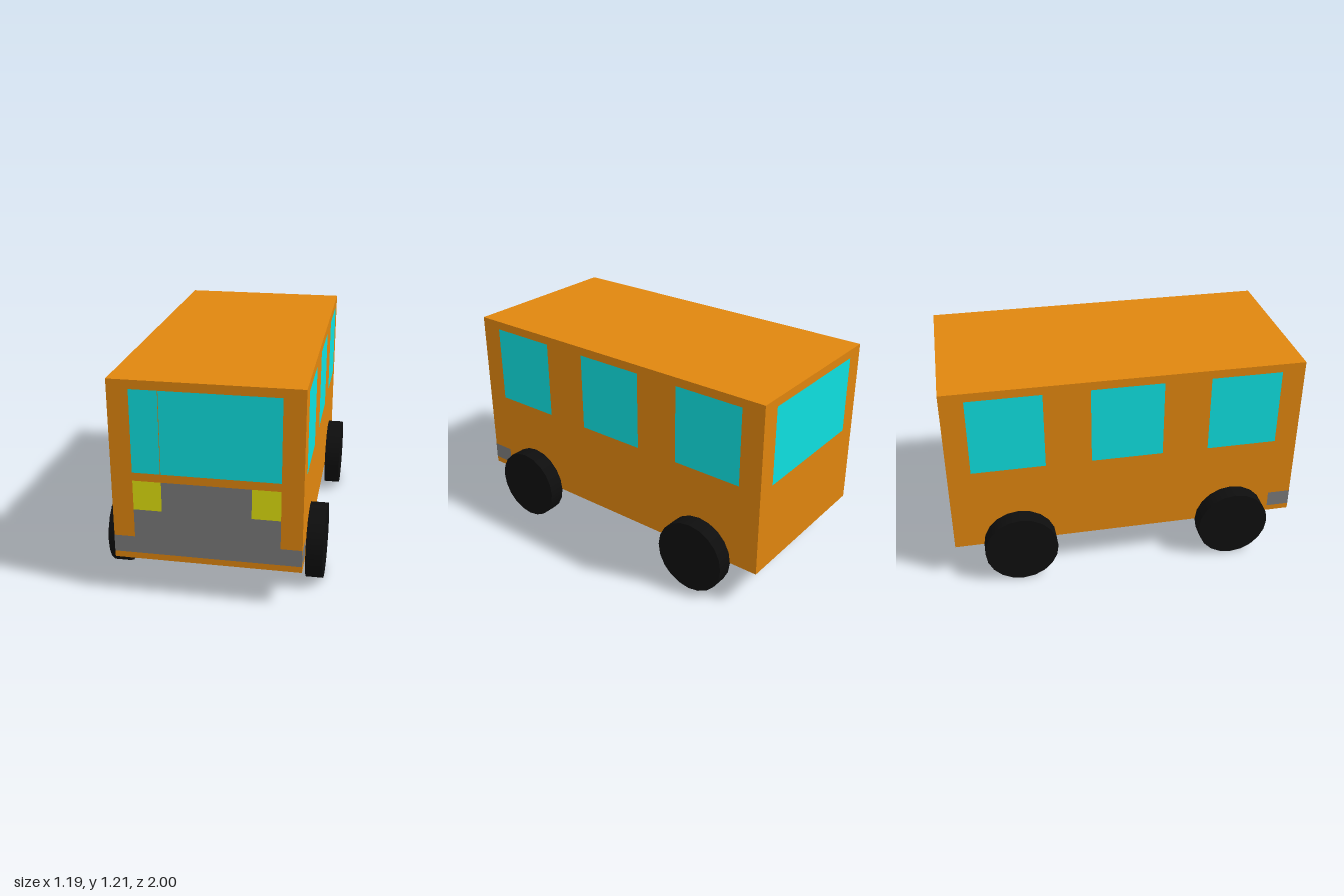
import * as THREE from 'three';

const paint = (color) => new THREE.MeshStandardMaterial({ color });
const ORANGE = paint(0xe0860e), GLASS = paint(0x0ee0e0), GREY = paint(0x7a7a7a);
const YELLOW = paint(0xe0e00e), BLACK = paint(0x0e0e0e);

const HALF_W = 0.5, HALF_L = 1, BOTTOM = 0.21, TOP = 1.21;
const GAP = 0.0015; // panels sit just proud of the body

export function createModel() {
  const group = new THREE.Group();
  const add = (name, geometry, material) => {
    const mesh = new THREE.Mesh(geometry, material);
    mesh.name = name;
    group.add(mesh);
    return mesh;
  };

  // flat panel on the front (dir 1) or rear (dir -1) wall
  const endPanel = (name, material, dir, x0, x1, y0, y1) => {
    const panel = add(name, new THREE.PlaneGeometry(x1 - x0, y1 - y0), material);
    panel.position.set((x0 + x1) / 2, (y0 + y1) / 2, dir * (HALF_L + GAP));
    if (dir < 0) panel.rotation.y = Math.PI;
  };
  // flat panel on the left (dir 1) or right (dir -1) wall
  const sidePanel = (name, material, dir, z0, z1, y0, y1) => {
    const panel = add(name, new THREE.PlaneGeometry(z1 - z0, y1 - y0), material);
    panel.position.set(dir * (HALF_W + GAP), (y0 + y1) / 2, (z0 + z1) / 2);
    panel.rotation.y = dir * Math.PI / 2;
  };

  // body
  add('body', new THREE.BoxGeometry(HALF_W * 2, TOP - BOTTOM, HALF_L * 2), ORANGE)
    .position.y = (TOP + BOTTOM) / 2;

  // windscreen in two panes with a thin divider, and rear window
  endPanel('windscreenSmallPane', GLASS, 1, -0.387, -0.239, 0.71, 1.162);
  endPanel('windscreenLargePane', GLASS, 1, -0.236, 0.387, 0.71, 1.162);
  endPanel('rearWindow', GLASS, -1, -0.387, 0.387, 0.71, 1.162);

  // grille around the headlights, and front bumper
  endPanel('grilleUpper', GREY, 1, -0.236, 0.236, 0.5, 0.665);
  endPanel('grilleLower', GREY, 1, -0.387, 0.387, 0.34, 0.5);
  endPanel('bumperFront', GREY, 1, -HALF_W, HALF_W, 0.245, 0.34);
  endPanel('rightHeadlight', YELLOW, 1, -0.387, -0.236, 0.5, 0.665);
  endPanel('leftHeadlight', YELLOW, 1, 0.236, 0.387, 0.5, 0.665);

  for (const [side, dir] of [['left', 1], ['right', -1]]) {
    // side windows and bumper ends
    for (const [z0, z1] of [[0.468, 0.87], [-0.2, 0.206], [-0.87, -0.458]]) {
      sidePanel(side + 'Window', GLASS, dir, z0, z1, 0.71, 1.162);
    }
    sidePanel(side + 'BumperEnd', GREY, dir, 0.868, HALF_L, 0.245, 0.34);

    // wheels stand outside the body walls
    for (const [end, z] of [['Front', 0.628], ['Rear', -0.625]]) {
      const wheel = add(side + end + 'Wheel', new THREE.CylinderGeometry(0.209, 0.209, 0.094, 20), BLACK);
      wheel.rotation.z = Math.PI / 2;
      wheel.position.set(dir * (HALF_W + 0.046), 0.209, z);
    }
  }
  return group;
}
